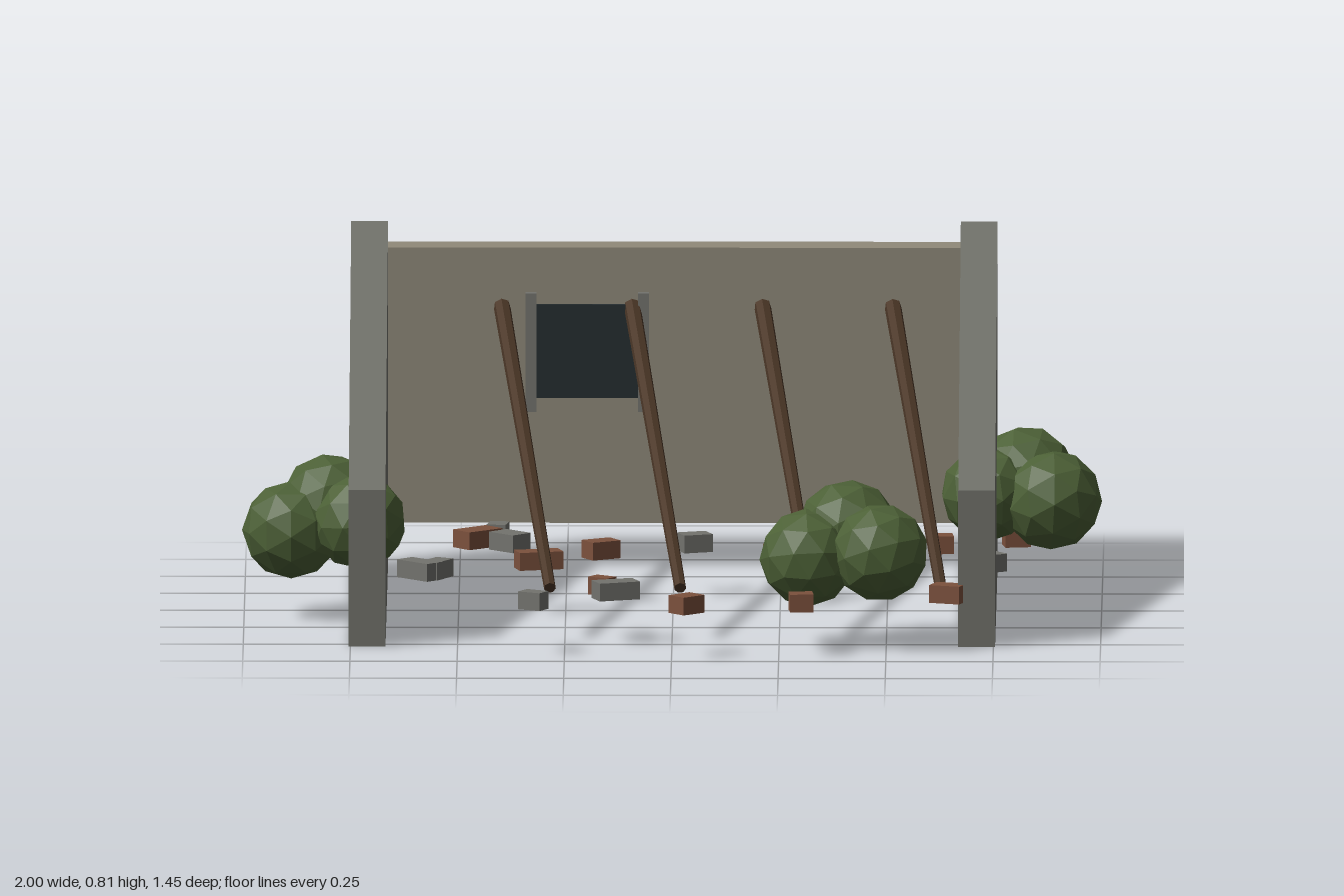
import * as THREE from 'three';

const mat = (color) => new THREE.MeshStandardMaterial({ color, flatShading: true });

export function createModel() {
  const model = new THREE.Group();
  const stone = mat(0x70716a), plaster = mat(0x908a7a), dark = mat(0x252d30);
  const wood = mat(0x4a3626), brick = mat(0x7c513d), grey = mat(0x73736e), leaf = mat(0x4c6036);

  const add = (name, geometry, material, x = 0, y = 0, z = 0, parent = model) => {
    const mesh = new THREE.Mesh(geometry, material);
    mesh.name = name;
    mesh.position.set(x, y, z);
    parent.add(mesh);
    return mesh;
  };
  const box = (name, material, w, h, d, x, y, z) =>
    add(name, new THREE.BoxGeometry(w, h, d), material, x, y, z);

  // Side walls: a sloping profile drawn in z and y, extruded across x
  const profile = new THREE.Shape([[-0.685, 0], [0.532, 0], [0.532, 0.37], [-0.685, 0.81]]
    .map(([z, y]) => new THREE.Vector2(z, y)));
  const wallGeo = new THREE.ExtrudeGeometry(profile, { depth: 0.086, bevelEnabled: false })
    .translate(0, 0, -0.043).rotateY(-Math.PI / 2);
  add('leftWall', wallGeo, stone, 0.711);
  add('rightWall', wallGeo, stone, -0.711);

  // Back wall with a dark opening between two posts
  box('backWall', plaster, 1.42, 0.65, 0.09, 0, 0.43, -0.684);
  box('windowOpening', dark, 0.24, 0.22, 0.02, -0.203, 0.512, -0.637);
  for (const x of [-0.334, -0.072]) box('windowPost', grey, 0.026, 0.28, 0.035, x, 0.51, -0.635);

  // Fallen roof beams leaning on the back wall
  for (let i = 0; i < 4; i++) {
    const x = -0.402 + i * 0.304;
    const top = new THREE.Vector3(x, 0.617, -0.643);
    const foot = new THREE.Vector3(x + 0.117, 0.122, 0.428);
    const along = top.clone().sub(foot);
    const beam = add('roofBeam', new THREE.CylinderGeometry(0.02, 0.014, along.length(), 7), wood);
    beam.position.copy(top).add(foot).multiplyScalar(0.5);
    beam.quaternion.setFromUnitVectors(new THREE.Vector3(0, 1, 0), along.normalize());
  }

  // Rubble: x, z, length, width, turn in degrees
  const scatter = (name, material, pieces) => {
    for (const [x, z, l, w, turn] of pieces) {
      box(name, material, l, 0.042, w, x, 0.125, z).rotation.y = THREE.MathUtils.degToRad(turn);
    }
  };
  scatter('brick', brick, [
    [-0.457, -0.294, 0.1, 0.06, 40], [-0.168, -0.128, 0.075, 0.052, 30],
    [-0.313, 0.027, 0.105, 0.052, 15], [0.409, -0.278, 0.11, 0.058, 84],
    [0.254, -0.075, 0.075, 0.05, 30], [0.625, -0.21, 0.055, 0.05, 5],
    [-0.163, 0.41, 0.055, 0.036, -35], [0.035, 0.68, 0.065, 0.053, 42],
    [0.302, 0.65, 0.055, 0.05, 5], [0.644, 0.52, 0.075, 0.052, -20],
    [0.8, -0.31, 0.06, 0.05, 10],
  ]);
  scatter('stoneChunk', grey, [
    [-0.41, -0.38, 0.045, 0.055, -10], [-0.382, -0.243, 0.08, 0.058, -45],
    [0.05, -0.23, 0.07, 0.053, 20], [0.313, -0.17, 0.07, 0.05, -20],
    [-0.59, 0.175, 0.1, 0.05, -45], [-0.55, 0.165, 0.075, 0.045, 60],
    [-0.131, 0.472, 0.1, 0.058, 20], [-0.323, 0.626, 0.058, 0.042, -30],
    [0.725, 0.075, 0.1, 0.048, 35],
  ]);

  // Bushes: three faceted clumps each, given as x, y, z, radius
  const bushes = {
    rightBush: [[-0.89, 0.208, 0.11, 0.115], [-0.8, 0.268, 0.08, 0.115], [-0.732, 0.235, 0.155, 0.112]],
    leftBush: [[0.82, 0.263, -0.32, 0.122], [0.882, 0.224, -0.24, 0.118], [0.735, 0.235, -0.265, 0.112]],
    frontBush: [[0.318, 0.212, 0.535, 0.114], [0.41, 0.265, 0.475, 0.12], [0.485, 0.23, 0.575, 0.114]],
  };
  let n = 0;
  for (const [name, clumps] of Object.entries(bushes)) {
    const bush = new THREE.Group();
    bush.name = name;
    model.add(bush);
    for (const [x, y, z, r] of clumps) {
      const clump = add('foliageClump', new THREE.IcosahedronGeometry(r, 1), leaf, x, y, z, bush);
      clump.rotation.set(n * 0.7, n * 1.3, n * 0.4);
      n++;
    }
  }
  return model;
}
